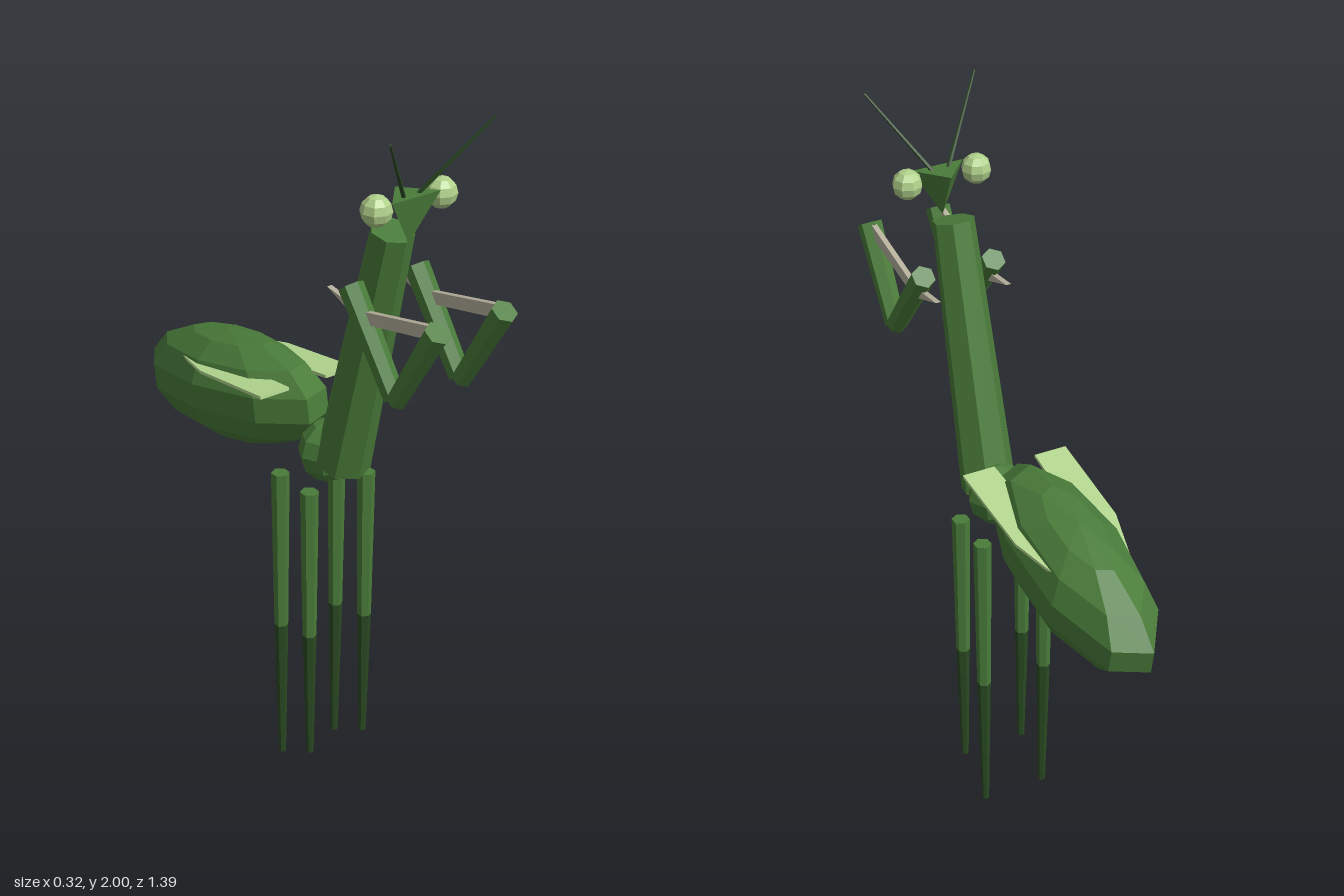
import * as THREE from 'three';

const flat = (name, color) => new THREE.MeshStandardMaterial({ name, color });

export function createModel() {
  const model = new THREE.Group();
  model.name = 'mantis';
  const green = flat('leafGreen', 0x4a7c3a);
  const dark = flat('darkGreen', 0x2a4a22);
  const pale = flat('paleWing', 0xb4d890);
  const eyeTone = flat('eyeGreen', 0xb0d08a);
  const bone = flat('boneGrey', 0xb6b09c);

  function add(name, geometry, material) {
    // split vertices so that every facet has its own normal
    const g = geometry.index ? geometry.toNonIndexed() : geometry;
    g.computeVertexNormals();
    const mesh = new THREE.Mesh(g, material);
    mesh.name = name;
    model.add(mesh);
    return mesh;
  }

  // tapered segment running from point a to point b
  function limb(name, a, b, ra, rb, sides, material) {
    const from = new THREE.Vector3(...a), to = new THREE.Vector3(...b);
    const dir = to.clone().sub(from);
    const mesh = add(name, new THREE.CylinderGeometry(rb, ra, dir.length(), sides), material);
    mesh.position.copy(from).add(to).multiplyScalar(0.5);
    mesh.quaternion.setFromUnitVectors(new THREE.Vector3(0, 1, 0), dir.normalize());
    return mesh;
  }

  // abdomen
  const abdomen = add('abdomen', new THREE.SphereGeometry(1, 9, 7).scale(0.147, 0.155, 0.388), green);
  abdomen.position.set(0, 0.998, -0.325);
  abdomen.rotation.x = -0.18;

  // waist and long upright thorax
  const waist = add('waist', new THREE.SphereGeometry(0.088, 8, 6).scale(1, 1, 0.85), green);
  waist.position.set(0, 0.973, 0.1);
  limb('thorax', [0, 0.96, 0.158], [0, 1.685, 0.352], 0.076, 0.057, 7, green);

  // wedge-shaped head, point down
  const head = add('head', new THREE.ConeGeometry(0.086, 0.13, 3).rotateX(Math.PI).scale(1, 1, 0.65), green);
  head.position.set(0, 1.737, 0.415);

  // wing outline: x across, y towards the tail
  const wingShape = new THREE.Shape([
    [0.06, 0], [0.152, 0], [0.146, 0.29], [0.11, 0.42], [0.07, 0.55], [0.032, 0.56],
  ].map(p => new THREE.Vector2(...p)));

  // foreleg blade outline: x is depth, y is height
  const bladeShape = new THREE.Shape([
    [0.635, 1.565], [0.615, 1.525], [0.37, 1.472], [0.235, 1.522], [0.37, 1.505],
  ].map(p => new THREE.Vector2(...p)));

  for (const s of [1, -1]) {
    const side = s > 0 ? 'left' : 'right';

    const eye = add(side + 'Eye', new THREE.SphereGeometry(0.041, 8, 6), eyeTone);
    eye.position.set(s * 0.1, 1.782, 0.415);
    limb(side + 'Antenna', [s * 0.02, 1.795, 0.42], [s * 0.158, 2, 0.537], 0.006, 0.003, 5, dark);

    // folded wing, tilted down towards the tail
    const wingGeo = new THREE.ExtrudeGeometry(wingShape, { depth: 0.009, bevelEnabled: false });
    wingGeo.rotateX(-Math.PI / 2);
    if (s < 0) wingGeo.rotateZ(Math.PI).translate(0, 0.009, 0);
    const wing = add(side + 'Wing', wingGeo, pale);
    wing.position.set(0, 1.125, 0.005);
    wing.rotation.x = -0.142;

    // grasping foreleg
    const x = s * 0.103;
    limb(side + 'ForelegUpper', [x, 1.555, 0.322], [x, 1.318, 0.502], 0.033, 0.028, 6, green);
    limb(side + 'ForelegLower', [x, 1.315, 0.51], [x, 1.555, 0.66], 0.028, 0.034, 6, green);
    const bladeGeo = new THREE.ExtrudeGeometry(bladeShape, { depth: 0.015, bevelEnabled: false });
    bladeGeo.rotateY(-Math.PI / 2);
    add(side + 'ForelegBlade', bladeGeo, bone).position.x = x + 0.0075;

    // walking legs: [name, z, knee height, foot height]
    for (const [pair, z, knee, foot] of [['Middle', 0.14, 0.45, 0.07], ['Rear', 0.01, 0.42, 0]]) {
      limb(side + pair + 'Thigh', [s * 0.094, 0.893, z], [s * 0.093, knee, z], 0.025, 0.019, 6, green);
      limb(side + pair + 'Shin', [s * 0.093, knee, z], [s * 0.091, foot, z], 0.019, 0.01, 6, dark);
    }
  }
  return model;
}
